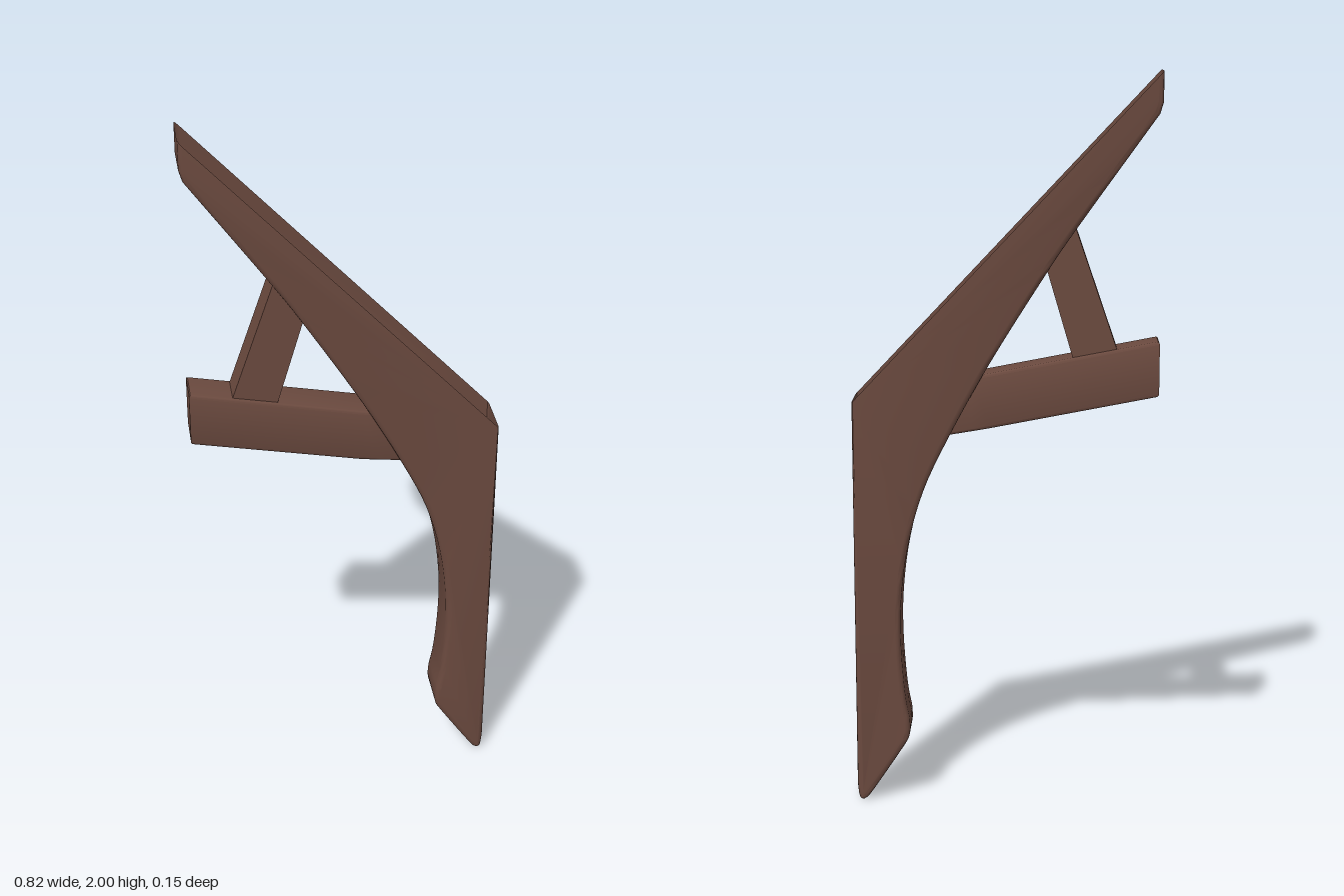
import * as THREE from 'three';
import { toCreasedNormals } from 'three/addons/utils/BufferGeometryUtils.js';

const V = (x, y) => new THREE.Vector2(x, y);
const wood = new THREE.MeshStandardMaterial({ color: 0x6b4a3f, side: THREE.DoubleSide });

// Extrude an outline to a total width centred on z = 0, with rounded edges
function extrude(points, width, bevel) {
  const geo = new THREE.ExtrudeGeometry(new THREE.Shape(points), {
    depth: width - 2 * bevel, bevelEnabled: bevel > 0, bevelThickness: bevel,
    bevelSize: bevel, bevelOffset: -bevel, bevelSegments: 3,
  });
  return geo.translate(0, 0, -(width - 2 * bevel) / 2);
}

// Remove the wall lying along the line a-b, and draw the remaining rim onto that line
function openAlong(geo, a, b, tol) {
  const n = V(a.y - b.y, b.x - a.x).normalize();
  const p = geo.attributes.position, out = [];
  const dist = (i) => (p.getX(i) - a.x) * n.x + (p.getY(i) - a.y) * n.y;
  for (let i = 0; i < p.count; i += 3) {
    const d = [dist(i), dist(i + 1), dist(i + 2)];
    if (d.every((v) => Math.abs(v) < tol)) continue;
    d.forEach((v, k) => {
      const s = Math.abs(v) < tol ? v : 0;
      out.push(p.getX(i + k) - n.x * s, p.getY(i + k) - n.y * s, p.getZ(i + k));
    });
  }
  const open = new THREE.BufferGeometry();
  open.setAttribute('position', new THREE.Float32BufferAttribute(out, 3));
  return open;
}

// Move every vertex by a rule
function deform(geo, rule) {
  const p = geo.attributes.position, v = new THREE.Vector3();
  for (let i = 0; i < p.count; i++) {
    rule(v.fromBufferAttribute(p, i));
    p.setXYZ(i, v.x, v.y, v.z);
  }
  return geo;
}

function part(name, geo) {
  geo.deleteAttribute('uv');
  const mesh = new THREE.Mesh(toCreasedNormals(geo, 0.6), wood);
  mesh.name = name;
  return mesh;
}

export function createModel() {
  const group = new THREE.Group();
  group.name = 'curvedBracket';

  // Curved upright: hollow, open along its sloping top
  const tip = V(-0.414, 2.0), shoulder = V(0.41, 1.125);
  const curve = new THREE.SplineCurve([
    V(-0.405, 1.89), V(-0.19, 1.59), V(-0.1, 1.455), V(0.04, 1.23), V(0.15, 1.03),
    V(0.22, 0.88), V(0.262, 0.73), V(0.282, 0.58), V(0.284, 0.45), V(0.274, 0.31), V(0.262, 0.24),
  ]).getPoints(40);
  const foot = new THREE.SplineCurve([
    V(0.26, 0.21), V(0.264, 0.185), V(0.28, 0.155), V(0.365, 0.028), V(0.384, 0.006),
    V(0.396, 0.003), V(0.404, 0.014), V(0.408, 0.05),
  ]).getPoints(21);
  const outline = [tip, V(-0.414, 1.92), ...curve, ...foot, shoulder];
  const upright = openAlong(extrude(outline, 0.137, 0.014), tip, shoulder, 0.0155);
  // The lower leg leans slightly to the back
  deform(upright, (v) => { v.z += -0.0075 + 0.016 * Math.min(1, v.y / 1.3); });
  group.add(part('upright', upright));

  // Sloping arm, with its inner end tapering to a rounded tip
  const half = 0.052, plan = [V(-0.414, half), V(-0.414, -half), V(0.04, -half)];
  for (let i = 1; i < 20; i++) {
    const t = -1 + i / 10;
    plan.push(V(0.245 - 0.2 * Math.abs(t) ** 2.4, t * half));
  }
  plan.push(V(0.04, half));
  const arm = extrude(plan, 0.15, 0.008).rotateX(-Math.PI / 2);
  deform(arm, (v) => { v.y += 1.215 - 0.194 * (v.x + 0.414); v.z += 0.0125; });
  group.add(part('arm', arm));

  // Diagonal strut between arm and upright, open at its hidden upper end
  const topA = V(-0.165, 1.66), topB = V(-0.089, 1.56);
  const strut = extrude([V(-0.308, 1.245), V(-0.188, 1.225), topB, topA], 0.085, 0);
  group.add(part('strut', openAlong(strut, topA, topB, 0.002).translate(0, 0, 0.0125)));

  return group;
}
